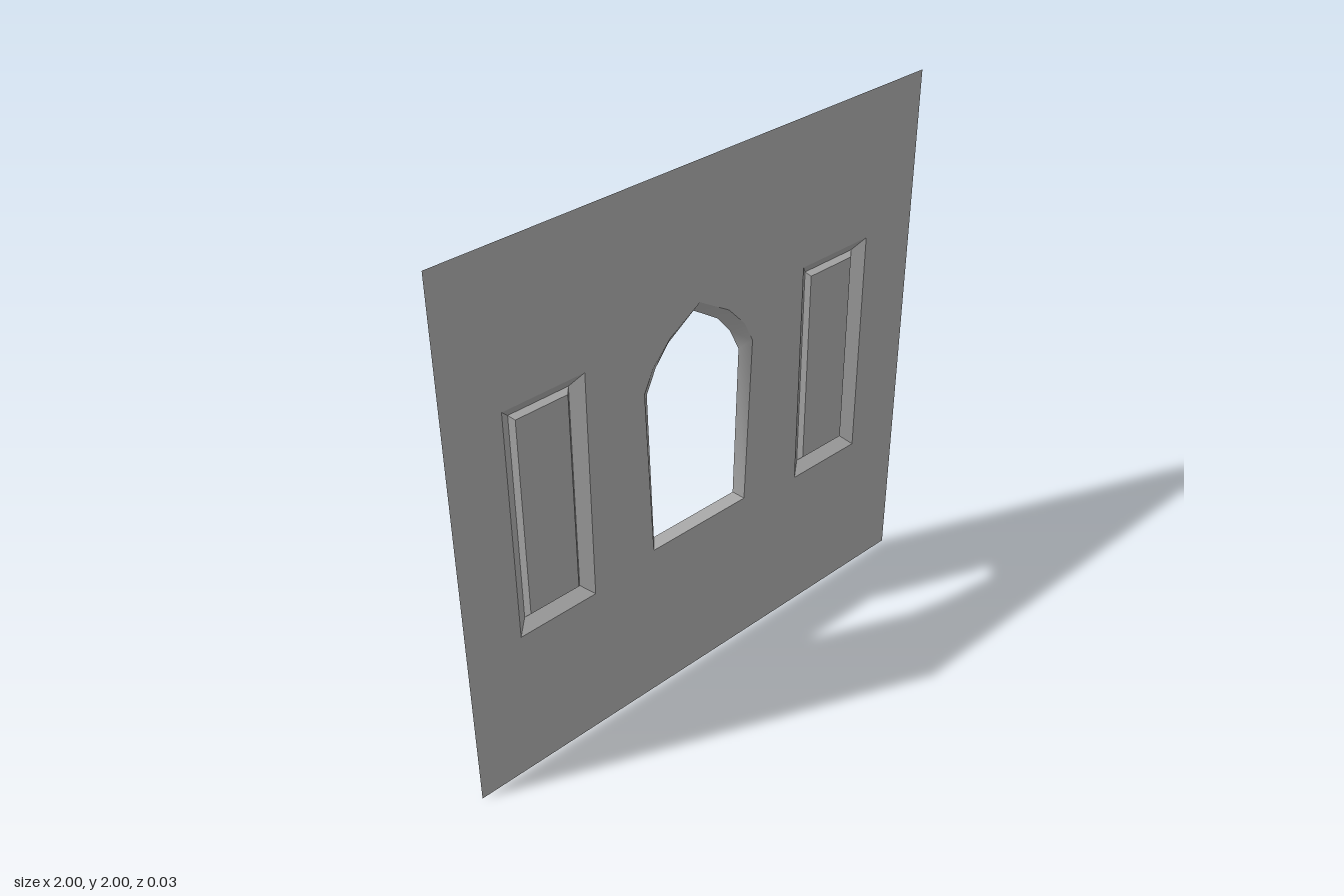
import * as THREE from 'three';
import { toCreasedNormals } from 'three/addons/utils/BufferGeometryUtils.js';

const FRONT = 0.015, BACK = -0.015, PANEL = 0;
const CENTRE = -0.009; // openings sit slightly off the wall's middle

const material = new THREE.MeshStandardMaterial({ color: 0xcccccc, side: THREE.DoubleSide });

// Counter-clockwise rectangle
const rect = (x0, x1, y0, y1) => [[x0, y0], [x1, y0], [x1, y1], [x0, y1]]
  .map(([x, y]) => new THREE.Vector2(x, y));

// Counter-clockwise pointed arch from its right-hand half outline, bottom to apex
function arch(half, apexY) {
  const right = half.map(([x, y]) => new THREE.Vector2(CENTRE + x, y));
  const left = half.map(([x, y]) => new THREE.Vector2(CENTRE - x, y)).reverse();
  return [...right, new THREE.Vector2(CENTRE, apexY), ...left];
}

// Sloping band joining an outer loop to an inner loop at another depth
function band(outer, zOuter, inner, zInner) {
  const pos = [];
  outer.forEach((a, i) => {
    const j = (i + 1) % outer.length;
    const b = outer[j], c = inner[j], d = inner[i];
    pos.push(a.x, a.y, zOuter, b.x, b.y, zOuter, c.x, c.y, zInner);
    pos.push(a.x, a.y, zOuter, c.x, c.y, zInner, d.x, d.y, zInner);
  });
  const geometry = new THREE.BufferGeometry();
  geometry.setAttribute('position', new THREE.Float32BufferAttribute(pos, 3));
  return toCreasedNormals(geometry, 0.7);
}

// Flat sheet with optional holes
function sheet(outline, z, holes = []) {
  const shape = new THREE.Shape(outline);
  shape.holes = holes.map((h) => new THREE.Path(h));
  return new THREE.ShapeGeometry(shape).translate(0, 0, z);
}

function add(parent, name, geometry) {
  const mesh = new THREE.Mesh(geometry, material);
  mesh.name = name;
  parent.add(mesh);
}

export function createModel() {
  const model = new THREE.Group();
  model.name = 'wallWithArchedWindow';

  // Window opening with splayed reveal
  const archOuter = arch([[0.213, 0.63], [0.238, 1.273], [0.2, 1.353], [0.127, 1.433]], 1.512);
  const archInner = arch([[0.186, 0.655], [0.203, 1.241], [0.163, 1.326], [0.107, 1.396]], 1.469);
  add(model, 'windowReveal', band(archOuter, FRONT, archInner, BACK));

  // Recessed niches with a raised centre panel, one each side
  const holes = [archOuter];
  for (const [side, name] of [[-1, 'rightNiche'], [1, 'leftNiche']]) {
    const x = CENTRE + side * 0.626;
    const niche = new THREE.Group();
    niche.name = name;
    const outer = rect(x - 0.155, x + 0.155, 0.59, 1.457);
    const groove = rect(x - 0.114, x + 0.114, 0.631, 1.413);
    const inner = rect(x - 0.099, x + 0.099, 0.645, 1.397);
    add(niche, 'nicheBevel', band(outer, FRONT, groove, BACK));
    add(niche, 'panelBevel', band(groove, BACK, inner, PANEL));
    add(niche, 'panel', sheet(inner, PANEL));
    model.add(niche);
    holes.push(outer);
  }

  // Wall sheet around the openings
  add(model, 'wall', sheet(rect(-1, 1, 0, 2), FRONT, holes));
  return model;
}
